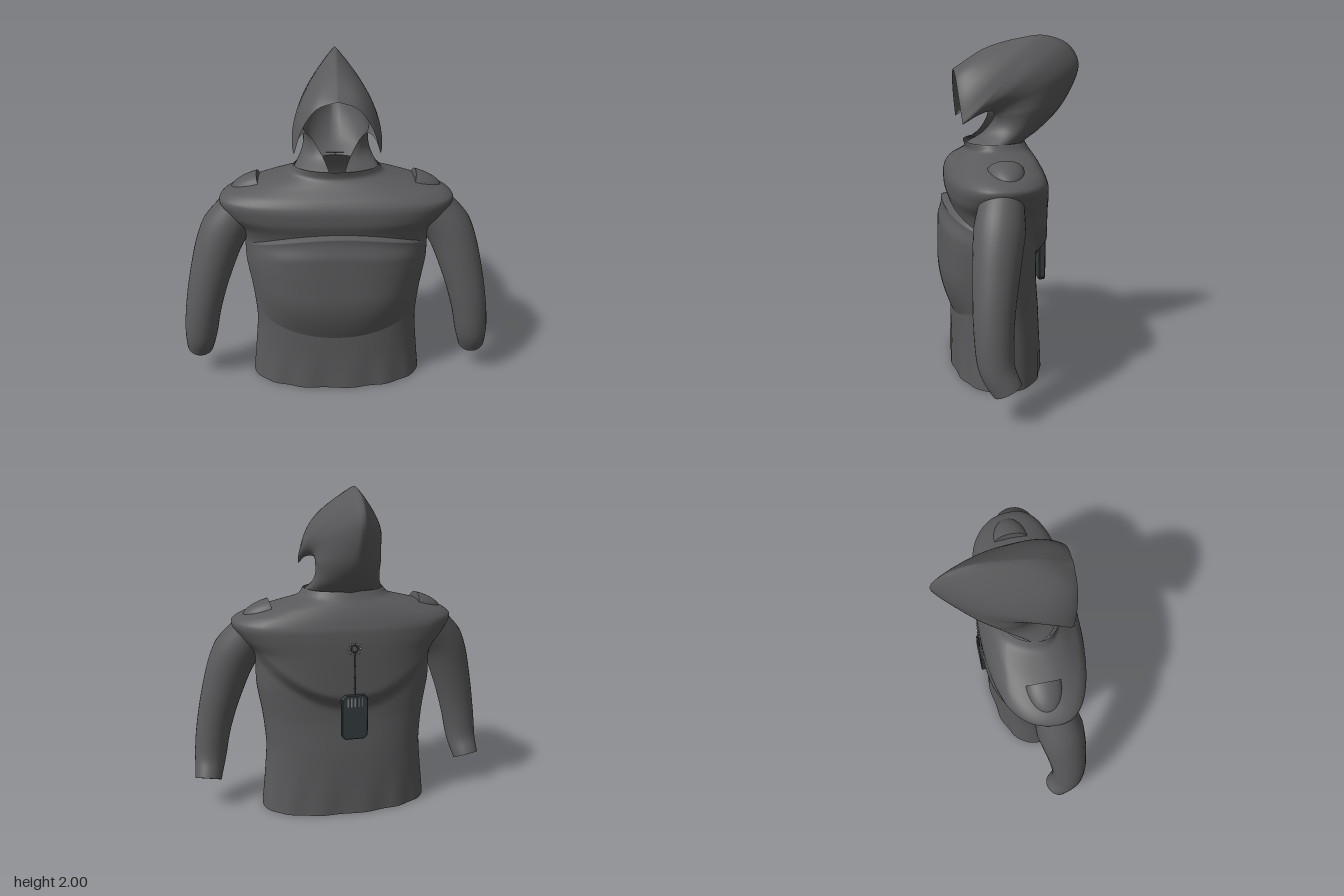
import * as THREE from 'three';
import { mergeVertices } from 'three/addons/utils/BufferGeometryUtils.js';

const fabric = new THREE.MeshStandardMaterial({ color: 0x5a5a5c, side: THREE.DoubleSide });
fabric.name = 'charcoal fabric';
const darkCase = new THREE.MeshStandardMaterial({ color: 0x343c3d });
darkCase.name = 'dark case';
const metal = new THREE.MeshStandardMaterial({ color: 0x85888a });
metal.name = 'grey metal';

const V = (x, y, z) => new THREE.Vector3(x, y, z);
const { smoothstep, lerp } = THREE.MathUtils;

function add(parent, name, geometry, material, x = 0, y = 0, z = 0) {
  const mesh = new THREE.Mesh(geometry, material);
  mesh.name = name;
  mesh.position.set(x, y, z);
  parent.add(mesh);
  return mesh;
}

// Smooth sheet from fn(u, v), both 0..1
function sheet(cols, rows, fn) {
  const pos = [], idx = [];
  for (let j = 0; j <= rows; j++) {
    for (let i = 0; i <= cols; i++) pos.push(...fn(i / cols, j / rows));
  }
  for (let j = 0; j < rows; j++) {
    for (let i = 0; i < cols; i++) {
      const a = j * (cols + 1) + i, b = a + cols + 1;
      idx.push(a, a + 1, b, a + 1, b + 1, b);
    }
  }
  let g = new THREE.BufferGeometry();
  g.setAttribute('position', new THREE.Float32BufferAttribute(pos, 3));
  g.setIndex(idx);
  g = mergeVertices(g, 1e-5);
  g.computeVertexNormals();
  return g;
}

// Jacket cross-sections: height, half width, front z, back z, squareness
const sections = [
  [0, 0.53, 0.365, -0.18, 2.3], [0.2, 0.51, 0.36, -0.175, 2.3], [0.4, 0.495, 0.358, -0.165, 2.4],
  [0.6, 0.512, 0.35, -0.147, 2.5], [0.8, 0.545, 0.345, -0.145, 2.5], [0.95, 0.55, 0.342, -0.145, 2.5],
  [1.03, 0.575, 0.36, -0.145, 2.5], [1.1, 0.635, 0.382, -0.143, 2.5], [1.17, 0.68, 0.385, -0.137, 2.5],
  [1.21, 0.68, 0.375, -0.125, 2.5], [1.25, 0.62, 0.35, -0.11, 2.4], [1.3, 0.46, 0.295, -0.085, 2.3],
  [1.345, 0.29, 0.262, -0.055, 2.1], [1.39, 0.245, 0.27, -0.03, 2],
];
const curveA = new THREE.CatmullRomCurve3(sections.map(s => V(s[0], s[1], s[2])), false, 'catmullrom', 0.4);
const curveB = new THREE.CatmullRomCurve3(sections.map(s => V(s[0], s[3], s[4])), false, 'catmullrom', 0.4);
function sectionAt(t) {
  const a = curveA.getPoint(t), b = curveB.getPoint(t);
  return { y: a.x, hw: a.y, zf: a.z, zb: b.y, n: b.z };
}
function sectionAtHeight(y) {
  let lo = 0, hi = 1;
  for (let i = 0; i < 24; i++) {
    const mid = (lo + hi) / 2;
    if (sectionAt(mid).y < y) lo = mid; else hi = mid;
  }
  return sectionAt(lo);
}

function torsoPoint(u, v) {
  const s = sectionAt(v), a = -u * Math.PI * 2;
  const c = Math.cos(a), d = Math.sin(a), zc = (s.zf + s.zb) / 2, half = (s.zf - s.zb) / 2;
  const bend = k => Math.sign(k) * Math.pow(Math.abs(k), 2 / s.n);
  const x = s.hw * bend(c);
  let z = zc + half * bend(d);
  // Draped fold across the back
  if (d < 0) {
    const fold = 0.7 + 0.3 * (x / 0.55) ** 2;
    z -= 0.062 * smoothstep(s.y, fold - 0.03, fold + 0.07) * Math.min(1, -d * 1.4);
  }
  // Slight ripples towards the hem
  z += 0.006 * Math.sin(a * 14) * d * (1 - smoothstep(s.y, 0, 0.3));
  return [x, s.y, z];
}

// Padded chest panel with a raised upper lip
function panelPoint(p, v) {
  const u = p * 2 - 1;
  const y = lerp(0.36 + 0.1 * u * u, 1.05 - 0.11 * u * u, v);
  const s = sectionAtHeight(y), x = u * s.hw * 0.95;
  const zc = (s.zf + s.zb) / 2;
  const z = zc + (s.zf - zc) * Math.pow(1 - Math.pow(Math.abs(x) / s.hw, s.n), 1 / s.n);
  let off = 0.085 * Math.sin(Math.min(1, v / 0.45) * Math.PI / 2) * (1 - 0.5 * smoothstep(v, 0.8, 1));
  if (v > 0.99) off = -0.02;
  return [x, y, z + off * (1 - u ** 4) - 0.004 * u ** 4];
}

// Hood: spread between the crown seam and the edge of the opening
const crown = new THREE.CatmullRomCurve3([
  V(0, 1.81, 0.325), V(0, 1.925, 0.14), V(0, 1.985, -0.07), V(0, 2, -0.22), V(0, 1.945, -0.365),
  V(0, 1.83, -0.427), V(0, 1.61, -0.34), V(0, 1.46, -0.205), V(0, 1.375, -0.085)]);
const visorEdge = new THREE.CatmullRomCurve3([
  V(0, 1.81, 0.325), V(0.11, 1.77, 0.322), V(0.19, 1.66, 0.312), V(0.24, 1.51, 0.295)]);
const scoopEdge = new THREE.CatmullRomCurve3([
  V(0.24, 1.51, 0.295), V(0.215, 1.565, 0.19), V(0.175, 1.575, 0.12), V(0.14, 1.54, 0.105),
  V(0.08, 1.45, 0.16), V(0.04, 1.38, 0.265)]);
function hoodPoint(p, t) {
  const side = p * 2 - 1, w = Math.abs(side);
  const m = crown.getPointAt(t);
  const e = t <= 0.4 ? visorEdge.getPoint(t / 0.4) : scoopEdge.getPoint((t - 0.4) / 0.6);
  const puff = 0.03 * Math.min(1, t * 3) + 0.185 * Math.max(0, t * 2 - 1) ** 2;
  const x = e.x * Math.sin(w * Math.PI / 2) + puff * Math.pow(Math.max(0, Math.sin(w * Math.PI)), 0.7);
  return [Math.sign(side) * x, lerp(m.y, e.y, w), lerp(m.z, e.z, w)];
}

// Curved sleeve with changing radius and a closed cuff
function addSleeve(parent, s) {
  const arm = new THREE.Group();
  arm.name = s > 0 ? 'leftSleeve' : 'rightSleeve';
  parent.add(arm);
  const path = new THREE.CatmullRomCurve3([
    V(0.56, 1.14, 0.12), V(0.67, 0.99, 0.15), V(0.755, 0.75, 0.182), V(0.815, 0.5, 0.2),
    V(0.845, 0.3, 0.187), V(0.865, 0.185, 0.135)].map(q => V(q.x * s, q.y, q.z)));
  const radii = [0.12, 0.14, 0.13, 0.118, 0.108, 0.1, 0.082];
  const rings = 48, sides = 32;
  const g = new THREE.TubeGeometry(path, rings, 1, sides);
  const pos = g.attributes.position, v = V(0, 0, 0);
  for (let i = 0; i <= rings; i++) {
    const c = path.getPointAt(i / rings), k = i / rings * (radii.length - 1);
    const k0 = Math.min(Math.floor(k), radii.length - 2);
    const r = lerp(radii[k0], radii[k0 + 1], k - k0);
    for (let j = 0; j <= sides; j++) {
      const n = i * (sides + 1) + j;
      v.fromBufferAttribute(pos, n).sub(c).multiplyScalar(r).add(c);
      pos.setXYZ(n, v.x, v.y, v.z);
    }
  }
  add(arm, 'sleeve', g, fabric);
  const end = path.getPointAt(1);
  const cap = add(arm, 'cuffEnd', new THREE.CircleGeometry(0.082, sides), fabric, end.x, end.y, end.z);
  cap.lookAt(end.clone().add(path.getTangentAt(1)));
}

// Half-domed shoulder tab with a flat inner face
function addShoulderTab(parent, s) {
  const tab = new THREE.Group();
  tab.name = s > 0 ? 'leftShoulderTab' : 'rightShoulderTab';
  tab.position.set(0.45 * s, 1.275, 0.085);
  tab.rotation.z = -0.26 * s;
  parent.add(tab);
  const dome = new THREE.SphereGeometry(1, 28, 16, s > 0 ? Math.PI / 2 : -Math.PI / 2, Math.PI);
  dome.scale(0.175, 0.065, 0.105);
  add(tab, 'tabDome', dome, fabric);
  const face = new THREE.CircleGeometry(1, 28);
  face.scale(0.105, 0.065, 1);
  add(tab, 'tabFace', face, fabric).rotation.y = -s * Math.PI / 2;
}

// Small case hanging on a cord at the back
function addHangingCase(parent) {
  const hang = new THREE.Group();
  hang.name = 'hangingCase';
  parent.add(hang);
  const w = 0.075, h = 0.135, c = 0.02;
  const shape = new THREE.Shape([[-w + c, -h], [w - c, -h], [w, -h + c], [w, h - c], [w - c, h],
    [-w + c, h], [-w, h - c], [-w, -h + c]].map(q => new THREE.Vector2(...q)));
  const body = new THREE.ExtrudeGeometry(shape,
    { depth: 0.03, bevelSize: 0.005, bevelThickness: 0.005, bevelSegments: 1 });
  add(hang, 'case', body, darkCase, 0, 0.65, -0.218);
  for (let i = -2; i <= 2; i++) {
    add(hang, 'caseRib', new THREE.BoxGeometry(0.008, 0.055, 0.008), metal, i * 0.022, 0.745, -0.224);
  }
  add(hang, 'cord', new THREE.CylinderGeometry(0.003, 0.003, 0.27, 8), darkCase, 0, 0.915, -0.214);
  for (const y of [0.83, 0.9, 0.97]) {
    add(hang, 'cordBead', new THREE.SphereGeometry(0.007, 10, 8), darkCase, 0, y, -0.214);
  }
  // Studded anchor ring
  add(hang, 'anchorRing', new THREE.TorusGeometry(0.02, 0.004, 6, 20), darkCase, 0, 1.07, -0.21);
  for (let i = 0; i < 8; i++) {
    const a = i * Math.PI / 4;
    add(hang, 'anchorStud', new THREE.SphereGeometry(0.007, 8, 6), metal,
      0.035 * Math.cos(a), 1.07 + 0.035 * Math.sin(a), -0.209);
  }
}

export function createModel() {
  const model = new THREE.Group();
  model.name = 'hoodedJacket';
  add(model, 'torso', sheet(112, 104, torsoPoint), fabric);
  add(model, 'chestPanel', sheet(56, 60, panelPoint), fabric);
  add(model, 'hood', sheet(56, 80, hoodPoint), fabric);
  for (const s of [1, -1]) {
    addSleeve(model, s);
    addShoulderTab(model, s);
  }
  addHangingCase(model);
  return model;
}
